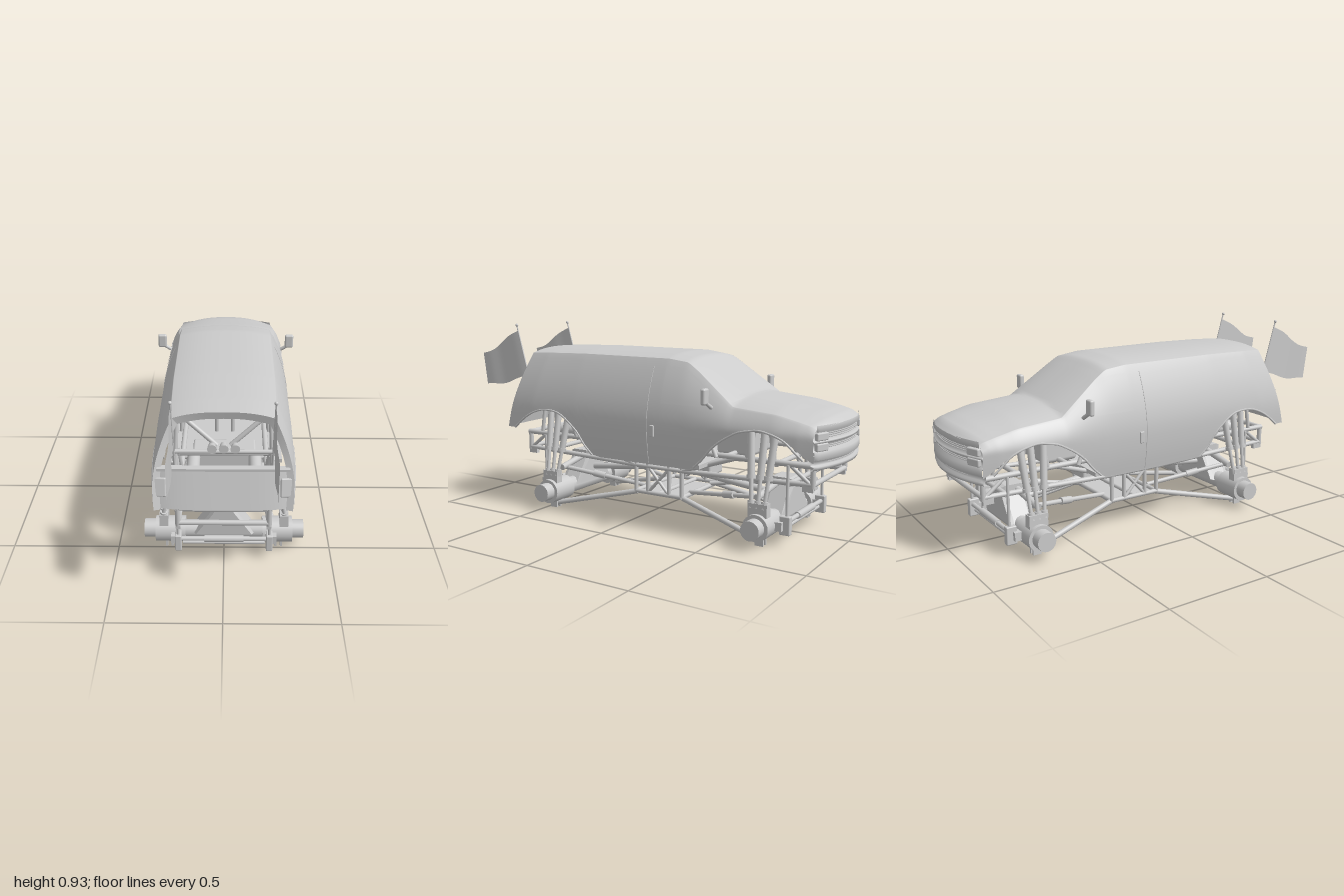
import * as THREE from 'three';
import { RoundedBoxGeometry } from 'three/addons/geometries/RoundedBoxGeometry.js';

const mat = new THREE.MeshStandardMaterial({ color: 0xcccccc });
const thin = new THREE.MeshStandardMaterial({ color: 0xcccccc, side: THREE.DoubleSide });
const V = (x, y, z) => new THREE.Vector3(x, y, z);
const clamp = THREE.MathUtils.clamp;

// Linear lookup in a table of [key, v1, v2, ...] with descending keys.
function lookup(table, k) {
  if (k >= table[0][0]) return table[0].slice(1);
  for (let i = 1; i < table.length; i++) {
    const a = table[i - 1], b = table[i];
    if (k >= b[0]) return a.slice(1).map((v, j) => v + (b[j + 1] - v) * (a[0] - k) / (a[0] - b[0]));
  }
  return table[table.length - 1].slice(1);
}

// Body stations: z, roof height, shoulder height, shoulder half width, belt half width.
const STATIONS = [
  [0.75, 0.81, 0.785, 0.215, 0.30], [0.6, 0.816, 0.79, 0.225, 0.311], [0.3, 0.82, 0.795, 0.23, 0.316],
  [-0.2, 0.818, 0.793, 0.23, 0.316], [-0.3, 0.803, 0.78, 0.226, 0.315], [-0.36, 0.765, 0.74, 0.232, 0.315],
  [-0.55, 0.64, 0.6, 0.268, 0.312], [-0.75, 0.617, 0.585, 0.272, 0.31], [-0.9, 0.593, 0.558, 0.265, 0.295],
  [-0.96, 0.577, 0.545, 0.26, 0.285], [-0.99, 0.553, 0.533, 0.255, 0.28]];
// Lower edge with wheel arches.
const EDGE = [
  [0.75, 0.4], [0.7, 0.4], [0.66, 0.44], [0.6, 0.485], [0.54, 0.506], [0.47, 0.513], [0.41, 0.503], [0.35, 0.475],
  [0.28, 0.415], [0.235, 0.345], [0.2, 0.31], [0.15, 0.302], [-0.34, 0.302], [-0.39, 0.325], [-0.45, 0.4],
  [-0.52, 0.46], [-0.6, 0.502], [-0.68, 0.517], [-0.75, 0.507], [-0.82, 0.477], [-0.88, 0.43], [-0.92, 0.395]];

const noseFactor = z => clamp((-0.78 - z) / 0.21, 0, 1);
function sideX(z, y) {
  const [, ySh, xSh, xBelt] = lookup(STATIONS, z);
  if (y < 0.5) return xBelt - 0.02 * ((0.5 - y) / 0.2) ** 2;
  return xBelt - (xBelt - xSh) * clamp((y - 0.5) / (ySh - 0.5), 0, 1) ** 1.7;
}
// Raked tail and rounded nose.
function place(x, y, z) {
  const rake = clamp((z - 0.25) / 0.5, 0, 1) * 0.3 * (y - 0.4);
  return V(x, y, z - rake + noseFactor(z) * 0.065 * (x / 0.28) ** 2);
}
function roofY(z, x) {
  const [yTop, ySh, xSh] = lookup(STATIONS, z);
  return ySh + (yTop - ySh) * (1 - Math.min(1, Math.abs(x) / xSh) ** 2.6);
}
function section(z) {
  const [, ySh, xSh] = lookup(STATIONS, z), yb = lookup(EDGE, z + noseFactor(z) * 0.065)[0];
  const half = [];
  for (let i = 0; i <= 12; i++) { const y = yb + (ySh - yb) * i / 12; half.push([sideX(z, y), y]); }
  for (let i = 1; i <= 10; i++) { const x = xSh * Math.cos(i / 10 * Math.PI / 2); half.push([x, roofY(z, x)]); }
  const left = half.map(([x, y]) => place(x, y, z));
  return [...left, ...half.slice(0, -1).reverse().map(([x, y]) => place(-x, y, z))];
}
function loft(rows) {
  const n = rows[0].length, idx = [];
  for (let i = 0; i < rows.length - 1; i++) for (let j = 0; j < n - 1; j++) {
    const a = i * n + j, b = a + n;
    idx.push(a, a + 1, b, a + 1, b + 1, b);
  }
  const g = new THREE.BufferGeometry().setFromPoints(rows.flat());
  g.setIndex(idx);
  g.computeVertexNormals();
  return g;
}
const grid = (n, m, f) => Array.from({ length: n + 1 }, (_, i) => Array.from({ length: m + 1 }, (_, j) => f(i / n, j / m)));

export function createModel() {
  const root = new THREE.Group();
  const add = (name, geo, m = mat, parent = root) => {
    const mesh = new THREE.Mesh(geo, m); mesh.name = name; parent.add(mesh); return mesh;
  };
  const box = (name, w, h, d, x, y, z, r = 0) => {
    const m = add(name, r ? new RoundedBoxGeometry(w, h, d, 3, r) : new THREE.BoxGeometry(w, h, d));
    m.position.set(x, y, z); return m;
  };
  const rod = (name, a, b, r, r2 = r, sides = 12) => {
    const d = V(b[0] - a[0], b[1] - a[1], b[2] - a[2]);
    const m = add(name, new THREE.CylinderGeometry(r2, r, d.length(), sides));
    m.position.set((a[0] + b[0]) / 2, (a[1] + b[1]) / 2, (a[2] + b[2]) / 2);
    m.quaternion.setFromUnitVectors(V(0, 1, 0), d.normalize()); return m;
  };
  const pair = (name, a, b, r, r2) => { for (const s of [1, -1]) rod(name, [s * a[0], a[1], a[2]], [s * b[0], b[1], b[2]], r, r2); };
  const bar = (name, x, y, z, r) => rod(name, [-x, y, z], [x, y, z], r);
  const tube = (name, pts, r) => add(name, new THREE.TubeGeometry(new THREE.CatmullRomCurve3(pts), 32, r, 6));

  // Body shell and its rear window frame
  add('bodyShell', loft(Array.from({ length: 111 }, (_, i) => section(0.75 - 1.74 * i / 110))), thin);
  const rear = section(0.75);
  add('rearWindowFrame', loft([rear, rear.map(p => V(p.x * 0.9, p.y - 0.035 * clamp((p.y - 0.6) / 0.2, 0, 1), p.z - 0.008))]), thin);
  for (const s of [1, -1]) for (const [z0, z1] of [[0.7, 0.2], [-0.37, -0.91]])
    tube('archLip', Array.from({ length: 13 }, (_, i) => {
      const z = z0 + (z1 - z0) * i / 12, y = lookup(EDGE, z)[0], zz = z - noseFactor(z) * 0.04;
      return place(s * sideX(zz, y), y, zz);
    }), 0.005);

  // Tailgate
  add('tailgate', loft(grid(6, 16, (v, u) => {
    const y = 0.403 + 0.175 * v, x = (u * 2 - 1) * sideX(0.75, y);
    return V(x, y, 0.752 - 0.27 * (y - 0.4) - 0.025 * (x / 0.3) ** 4);
  })), thin);
  box('tailgateLedge', 0.56, 0.012, 0.03, 0, 0.576, 0.692);
  for (const s of [1, -1]) box('tailLight', 0.055, 0.085, 0.02, s * 0.268, 0.495, 0.71, 0.006).rotation.set(-0.26, s * 0.12, 0);

  // Glass panels
  add('windshield', loft(grid(16, 16, (v, u) => {
    const k = u * 2 - 1, z = -0.325 - 0.215 * v - 0.025 * (1 - k * k), x = k * (0.2 + 0.045 * v);
    return V(x, roofY(z, x) + 0.003, z);
  })), thin);
  for (const s of [1, -1]) {
    add('doorGlass', loft(grid(8, 14, (v, u) => {
      const z = -0.2 - 0.29 * u, top = Math.min(0.76, lookup(STATIONS, z)[1] - 0.025), y = 0.595 + (top - 0.595) * v;
      return V(s * (sideX(z, y) + 0.003), y, z);
    })), thin);
    box('doorHandle', 0.012, 0.055, 0.022, s * 0.317, 0.465, -0.16, 0.004);
    tube('doorSeam', grid(1, 10, (_, t) => V(s * (sideX(-0.13, 0.31 + 0.45 * t) + 0.0005), 0.31 + 0.45 * t, -0.13))[0], 0.0018);
    box('mirror', 0.045, 0.072, 0.024, s * 0.343, 0.648, -0.45, 0.009);
    rod('mirrorArm', [s * 0.3, 0.595, -0.46], [s * 0.335, 0.62, -0.452], 0.009);
  }

  // Nose: grille, headlights and bumper follow one curved front
  const noseZ = x => -0.99 + 0.065 * (x / 0.28) ** 2;
  const PROFILE = [[0.552, 0.002], [0.53, -0.004], [0.522, 0.012], [0.492, 0.012], [0.486, -0.004], [0.478, -0.004], [0.472, 0.012],
    [0.448, 0.012], [0.442, -0.007], [0.408, -0.008], [0.402, 0.008], [0.384, 0.008], [0.38, -0.006], [0.365, -0.002], [0.36, 0.03]];
  add('noseFascia', loft(PROFILE.map(([y, o]) => grid(1, 24, (_, u) => {
    const x = (u * 2 - 1) * (0.28 - Math.max(0, y - 0.5) * 0.4); return V(x, y, noseZ(x) + o);
  })[0])), thin);
  for (const y of [0.499, 0.508, 0.516, 0.456, 0.464, 0.393])
    tube('grilleBar', grid(1, 12, (_, u) => V((u * 2 - 1) * 0.18, y, noseZ((u * 2 - 1) * 0.18) + 0.009))[0], 0.0025);
  for (const s of [1, -1]) for (const y of [0.505, 0.46])
    box('headlight', 0.07, 0.034, 0.02, s * 0.228, y, noseZ(0.228) + 0.004, 0.006).rotation.y = -s * 0.36;

  // Flags on leaning poles
  for (const s of [1, -1]) {
    rod('flagPole', [s * 0.208, 0.57, 0.655], [s * 0.208, 0.92, 0.753], 0.0045, 0.0035);
    add('poleTip', new THREE.SphereGeometry(0.008, 12, 8)).position.set(s * 0.208, 0.923, 0.754);
    add('flag', loft(grid(8, 20, (v, u) => V(
      s * (0.208 + 0.005 * u + 0.003 * Math.sin(u * 9)),
      0.895 - 0.235 * v - u * (0.135 - 0.065 * v) + 0.012 * Math.sin(u * 7 + v) * Math.sqrt(u),
      0.745 - 0.063 * v + u * (0.25 + 0.04 * v)))), thin);
  }

  // Cabin: seats, roll cage and lamps
  for (const s of [1, -1]) {
    const shape = new THREE.Shape([[-0.08, 0], [-0.085, 0.13], [-0.045, 0.19], [-0.035, 0.24], [0.035, 0.24], [0.045, 0.19], [0.085, 0.13], [0.08, 0]].map(p => new THREE.Vector2(...p)));
    const back = add('seatBack', new THREE.ExtrudeGeometry(shape, { depth: 0.03, bevelSize: 0.01, bevelThickness: 0.01, bevelSegments: 3 }));
    back.position.set(s * 0.11, 0.5, -0.12); back.rotation.x = 0.12;
    box('seatCushion', 0.17, 0.06, 0.18, s * 0.11, 0.48, -0.2, 0.02);
    const lamp = rod('rearLamp', [s * 0.05, 0.613, 0.56], [s * 0.05, 0.613, 0.6], 0.014, 0.021, 20); lamp.name = 'rearLamp';
  }
  rod('rearLamp', [0, 0.613, 0.56], [0, 0.613, 0.6], 0.014, 0.021, 20);
  pair('cageBrace', [0.2, 0.765, 0.54], [0.03, 0.61, 0.56], 0.011);
  pair('cagePost', [0.2, 0.765, 0.54], [0.22, 0.38, 0.58], 0.01);
  pair('cageRail', [0.2, 0.77, 0.54], [0.2, 0.77, -0.25], 0.01);
  pair('cageFrontPost', [0.2, 0.77, -0.25], [0.23, 0.36, -0.45], 0.01);
  pair('cageHoopPost', [0.2, 0.77, 0.02], [0.22, 0.36, 0.02], 0.01);
  pair('cageDiagonal', [0.04, 0.77, 0.02], [0.04, 0.36, 0.02], 0.01);
  for (const z of [0.54, 0.02, -0.25]) bar('cageCrossbar', 0.2, 0.77, z, 0.01);
  bar('rearCrossbar', 0.21, 0.59, 0.58, 0.01);

  // Floor, engine and exhaust
  box('floorPan', 0.56, 0.02, 0.62, 0, 0.315, -0.08);
  box('fuelCell', 0.3, 0.09, 0.14, 0, 0.36, 0.24, 0.01);
  box('engine', 0.24, 0.16, 0.18, 0, 0.43, -0.48, 0.02);
  box('gearbox', 0.13, 0.1, 0.36, 0, 0.27, -0.15, 0.01);
  for (const s of [1, -1]) {
    rod('muffler', [s * 0.145, 0.385, 0.3], [s * 0.145, 0.385, 0.52], 0.031, 0.031, 20);
    rod('exhaustTip', [s * 0.145, 0.36, 0.5], [s * 0.135, 0.32, 0.56], 0.012);
  }

  // Centre trellis between the link mounts
  const MID = -0.11;
  for (const y of [0.13, 0.26]) {
    pair('trellisRail', [0.18, y, 0.02], [0.18, y, -0.24], 0.011);
    for (const z of [0.02, MID, -0.24]) bar('trellisCrossbar', 0.18, y, z, 0.011);
  }
  for (const z of [0.02, -0.05, -0.17, -0.24]) pair('trellisPost', [0.18, 0.13, z], [0.18, 0.3, z], 0.01);
  pair('trellisBrace', [0.18, 0.13, -0.05], [0.18, 0.26, -0.17], 0.008);
  pair('trellisBrace', [0.18, 0.26, -0.05], [0.18, 0.13, -0.17], 0.008);
  box('skidPlate', 0.3, 0.01, 0.26, 0, 0.12, MID);
  pair('frameRail', [0.2, 0.365, 0.69], [0.2, 0.365, -0.91], 0.013);

  // Front and rear suspension are mirror copies about the middle
  for (const e of [1, -1]) {
    const Z = d => MID + e * (0.58 + d); // d = distance outward from the axle
    bar('axleTube', 0.2, 0.09, Z(0), 0.042);
    const truss = new THREE.Shape([[-0.13, 0.1], [0.13, 0.1], [0.045, 0.225], [0.045, 0.255], [-0.045, 0.255], [-0.045, 0.225]].map(p => new THREE.Vector2(...p)));
    add('axleTruss', new THREE.ExtrudeGeometry(truss, { depth: 0.08, bevelSize: 0.008, bevelThickness: 0.02, bevelSegments: 1 })).position.z = Z(0) - 0.04;
    rod('driveshaft', [0, 0.17, Z(-0.04)], [0, 0.22, MID + e * 0.1], 0.017);
    bar('tieRod', 0.21, 0.108, Z(0.1), 0.011);
    bar('steeringRam', 0.19, 0.08, Z(0.09), 0.009);
    bar('ramBody', 0.09, 0.108, Z(0.1), 0.016);
    for (const s of [1, -1]) {
      rod('hubHousing', [s * 0.18, 0.09, Z(0)], [s * 0.32, 0.09, Z(0)], 0.061, 0.061, 24);
      rod('wheelHub', [s * 0.31, 0.092, Z(0)], [s * 0.373, 0.092, Z(0)], 0.044, 0.044, 24);
      box('knuckle', 0.03, 0.085, 0.05, s * 0.21, 0.092, Z(0.095), 0.005);
      box('knuckleArm', 0.05, 0.04, 0.08, s * 0.22, 0.09, Z(0.05));
      box('shockMount', 0.04, 0.06, 0.09, s * 0.28, 0.165, Z(0));
      for (const x of [0.245, 0.272]) box('linkTab', 0.01, 0.04, 0.04, s * x, 0.02, Z(0));
      // Long shocks with a fat upper body and a slim shaft
      for (const [top, foot] of [[0.045, 0.025], [-0.005, -0.005], [-0.07, -0.035]]) {
        const a = V(s * 0.286, 0.17, Z(foot)), b = V(s * 0.225, 0.5, Z(top));
        const at = t => a.clone().lerp(b, t).toArray();
        rod('shockShaft', at(0), at(0.5), 0.009);
        rod('shockBody', at(0.4), at(1), 0.016);
        rod('shockCollar', at(0.38), at(0.43), 0.02);
        rod('shockFoot', at(0), at(0.1), 0.016);
      }
    }
    pair('lowerLink', [0.258, 0.02, Z(0)], [0.17, 0.125, MID + e * 0.13], 0.013);
    pair('upperLink', [0.2, 0.2, Z(-0.02)], [0.1, 0.14, MID + e * 0.13], 0.011);
    pair('upperLinkCollar', [0.165, 0.18, Z(-0.18)], [0.15, 0.17, Z(-0.24)], 0.017);
    pair('swayArm', [0.24, 0.205, Z(-0.03)], [0.05, 0.235, Z(-0.02)], 0.016);
    pair('swayBarLink', [0.21, 0.13, Z(0.1)], [0.21, 0.36, Z(0.1)], 0.007);
    // Frame ends and bracing
    pair('lowerRail', [0.2, 0.285, Z(0.21)], [0.18, 0.26, MID + e * 0.13], 0.012);
    pair('frameBrace', [0.2, 0.365, Z(-0.14)], [0.18, 0.26, MID + e * 0.13], 0.011);
    pair('frameDiagonal', [0.2, 0.365, Z(0.1)], [0.2, 0.285, Z(0.2)], 0.009);
    pair('endPost', [0.2, 0.365, Z(0.21)], [0.2, 0.27, Z(0.21)], 0.012);
    pair('shockTower', [0.2, 0.365, Z(0.03)], [0.215, 0.505, Z(0.02)], 0.012);
    pair('shockTower', [0.2, 0.365, Z(-0.1)], [0.215, 0.505, Z(-0.06)], 0.012);
    pair('shockRail', [0.22, 0.5, Z(0.05)], [0.22, 0.5, Z(-0.08)], 0.011);
    for (const [y, d] of [[0.365, 0.21], [0.285, 0.21], [0.355, 0.04], [0.275, 0.1], [0.5, -0.02], [0.365, -0.2]]) bar('frameCrossbar', 0.2, y, Z(d), 0.012);
    for (const s of [1, -1]) box('endPlate', 0.02, 0.03, 0.05, s * 0.2, 0.268, Z(0.19));
  }
  return root;
}
